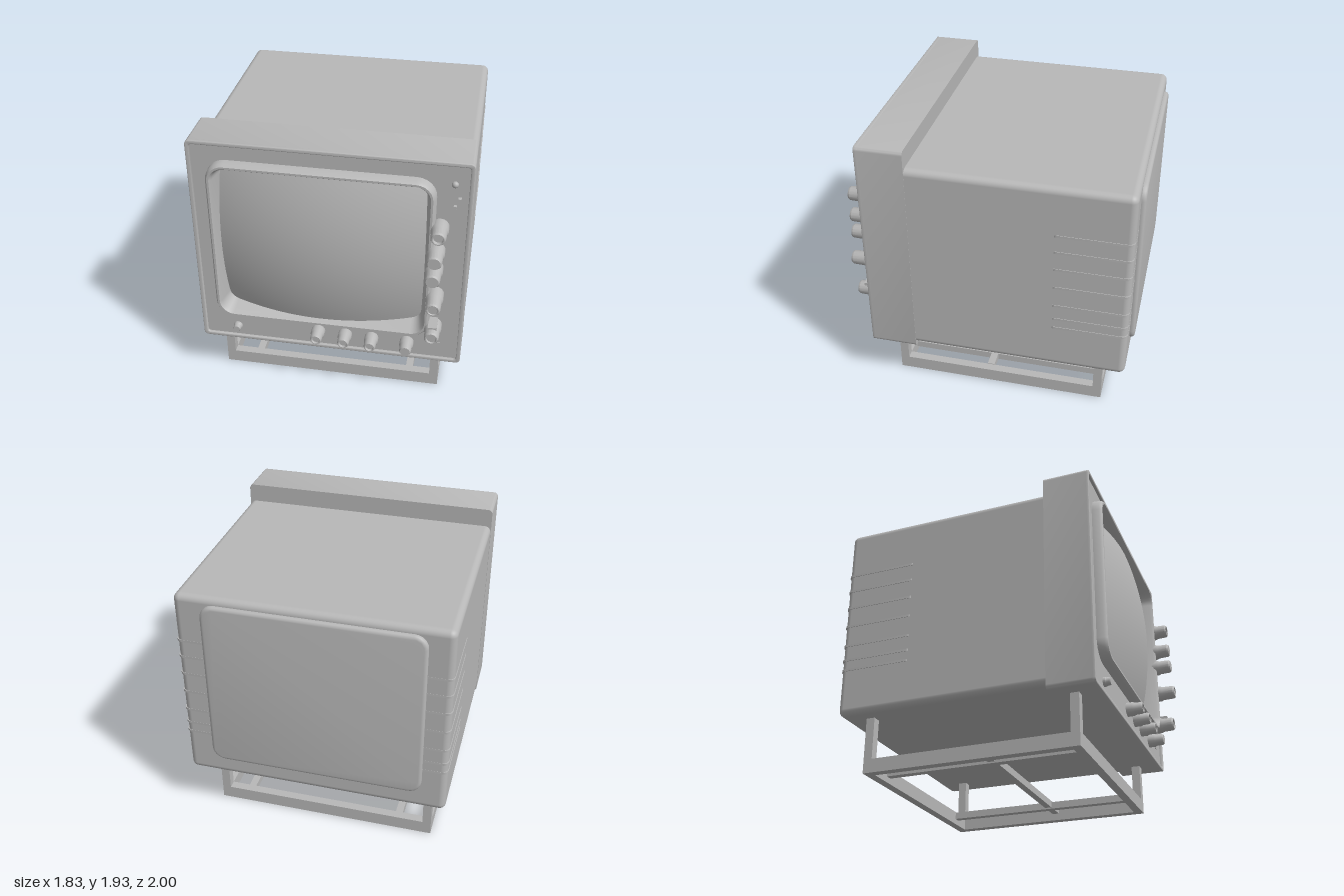
import * as THREE from 'three';
import { toCreasedNormals } from 'three/addons/utils/BufferGeometryUtils.js';
import { RoundedBoxGeometry } from 'three/addons/geometries/RoundedBoxGeometry.js';

const grey = new THREE.MeshStandardMaterial({ color: 0xb8b8b8 });

// Rounded rectangle outline as points, counter-clockwise.
function roundedRect(x0, x1, y0, y1, r, steps = 6) {
  const corners = [[x1 - r, y1 - r], [x0 + r, y1 - r], [x0 + r, y0 + r], [x1 - r, y0 + r]];
  const pts = [];
  corners.forEach(([cx, cy], q) => {
    for (let i = 0; i <= steps; i++) {
      const a = (q + i / steps) * Math.PI / 2;
      pts.push(new THREE.Vector2(cx + r * Math.cos(a), cy + r * Math.sin(a)));
    }
  });
  return pts;
}

// Extrudes an outline from z0 to z1; a bevel stays inside the outline and depth.
function slab(outline, hole, z0, z1, bevel = 0) {
  const shape = new THREE.Shape(outline);
  if (hole) shape.holes.push(new THREE.Path(hole));
  const geo = new THREE.ExtrudeGeometry(shape, {
    depth: z1 - z0 - 2 * bevel, bevelEnabled: bevel > 0,
    bevelSize: bevel, bevelOffset: -bevel, bevelThickness: bevel, bevelSegments: 3,
  });
  return toCreasedNormals(geo.translate(0, 0, z0 + bevel), 0.6);
}

// Skins a row of equal-length closed loops.
function loft(loops) {
  const n = loops[0].length, pos = [], index = [];
  loops.forEach(l => l.forEach(p => pos.push(p.x, p.y, p.z)));
  for (let k = 0; k < loops.length - 1; k++) {
    for (let i = 0; i < n; i++) {
      const a = k * n + i, b = k * n + (i + 1) % n;
      index.push(a, b, b + n, a, b + n, a + n);
    }
  }
  const geo = new THREE.BufferGeometry();
  geo.setAttribute('position', new THREE.Float32BufferAttribute(pos, 3));
  geo.setIndex(index);
  return toCreasedNormals(geo, 0.6);
}

export function createModel() {
  const model = new THREE.Group();
  model.name = 'monitor';
  const add = (name, geo, x = 0, y = 0, z = 0, parent = model) => {
    const mesh = new THREE.Mesh(geo, grey);
    mesh.name = name;
    mesh.position.set(x, y, z);
    parent.add(mesh);
    return mesh;
  };
  const box = (name, x0, x1, y0, y1, z0, z1, parent) => add(name,
    new THREE.BoxGeometry(x1 - x0, y1 - y0, z1 - z0),
    (x0 + x1) / 2, (y0 + y1) / 2, (z0 + z1) / 2, parent);

  // Cabinet behind the front housing
  add('cabinet', new RoundedBoxGeometry(1.82, 1.415, 1.525, 4, 0.045), 0, 1.0925, -0.2025);

  // Front housing with the screen opening, and the thin raised rim round its face
  const opening = roundedRect(-0.77, 0.67, 0.595, 1.78, 0.1);
  add('frontHousing', slab(roundedRect(-0.912, 0.912, 0.352, 1.928, 0.03), opening, 0.51, 0.812));
  add('frontRim', slab(roundedRect(-0.912, 0.912, 0.352, 1.928, 0.03),
    roundedRect(-0.885, 0.885, 0.377, 1.903, 0.02), 0.8, 0.832, 0.005));

  // Screen surround: raised lip sloping in to the glass
  const lip = [[0, 0.80], [0.004, 0.86], [0.018, 0.88], [0.032, 0.88], [0.045, 0.86], [0.075, 0.7]];
  add('screenSurround', loft(lip.map(([d, z]) =>
    roundedRect(-0.79 + d, 0.69 - d, 0.575 + d, 1.80 - d, 0.13 - d)
      .map(p => new THREE.Vector3(p.x, p.y, z)))));

  // Domed glass
  const glass = new THREE.PlaneGeometry(1.42, 1.16, 24, 20);
  const gp = glass.attributes.position;
  for (let i = 0; i < gp.count; i++) {
    const u = gp.getX(i) / 0.71, v = gp.getY(i) / 0.58;
    gp.setZ(i, 0.93 - 0.14 * u * u - 0.09 * v * v);
  }
  glass.computeVertexNormals();
  add('screen', glass, -0.05, 1.1875, 0);

  // Knobs: skirt, grip and dished cap, turned to face forward
  const knob = (name, x, y, r, tip, dish) => {
    const h = tip - 0.8;
    const profile = [[r * 1.12, 0], [r * 1.12, h * 0.45], [r * 0.98, h * 0.55], [r * 0.94, h - 0.012],
      [r * 0.8, h], [r * 0.66, h], [r * 0.58, h - dish], [0, h - dish]];
    const geo = new THREE.LatheGeometry(profile.map(p => new THREE.Vector2(...p)), 16);
    add(name, toCreasedNormals(geo.rotateX(Math.PI / 2), 0.6), x, y, 0.8);
  };
  [[0.72, 1.455, 0.97, 0.02], [0.705, 1.275, 0.98, 0], [0.7, 1.135, 0.985, 0],
    [0.715, 0.92, 1.0, 0.006], [0.715, 0.66, 0.975, 0.01]]
    .forEach(([x, y, tip, dish]) => knob('sideKnob', x, y, 0.052, tip, dish));
  [[-0.08, 0.49, 0.015], [0.11, 0.485, 0.015], [0.295, 0.48, 0.015], [0.54, 0.48, 0]]
    .forEach(([x, y, dish]) => knob('lowerKnob', x, y, 0.043, 0.925, dish));
  knob('powerButton', -0.66, 0.455, 0.028, 0.86, 0);

  // Pointer on the lowest side knob and small indicators on the panel
  box('knobPointer', 0.685, 0.745, 0.695, 0.72, 0.81, 0.93);
  add('indicator', new THREE.SphereGeometry(0.022, 12, 8), 0.795, 1.77, 0.815);
  box('indicatorSwitch', 0.82, 0.84, 1.645, 1.68, 0.81, 0.838);
  box('indicatorSwitch', 0.795, 0.815, 1.6, 1.622, 0.81, 0.835);
  box('panelMark', 0.725, 0.775, 0.492, 0.5, 0.81, 0.816);

  // Raised plate on the back
  add('backPanel', slab(roundedRect(-0.745, 0.725, 0.53, 1.755, 0.09), null, -0.997, -0.94, 0.022));

  // Vent ribs wrapping both rear corners
  const ribs = new THREE.Group();
  ribs.name = 'ventRibs';
  model.add(ribs);
  const plan = roundedRect(-0.914, 0.914, -0.966, -0.44, 0.035);
  for (const y of [1.455, 1.33, 1.195, 1.05, 0.9, 0.79, 0.715]) {
    add('ventRib', slab(plan, null, -0.008, 0.008).rotateX(Math.PI / 2).clone(), 0, y, 0, ribs);
  }

  // Stand: four legs, a square of rails and crossbars
  const stand = new THREE.Group();
  stand.name = 'stand';
  model.add(stand);
  const [x0, x1, z0, z1, t] = [-0.8, 0.76, -0.8, 0.69, 0.06];
  for (const x of [x0, x1 - t]) {
    for (const z of [z0, z1 - t]) box('leg', x, x + t, 0, 0.42, z, z + t, stand);
    box('sideRail', x, x + t, 0, 0.095, z0 + t, z1 - t, stand);
  }
  for (const z of [z0, z1 - t]) box('endRail', x0 + t, x1 - t, 0, 0.095, z, z + t, stand);
  for (const x of [-0.56, 0.55]) box('longBar', x - 0.025, x + 0.025, 0.04, 0.09, z0 + t, z1 - t, stand);
  box('crossBar', x0 + t, x1 - t, 0.05, 0.1, -0.005, 0.045, stand);

  return model;
}
